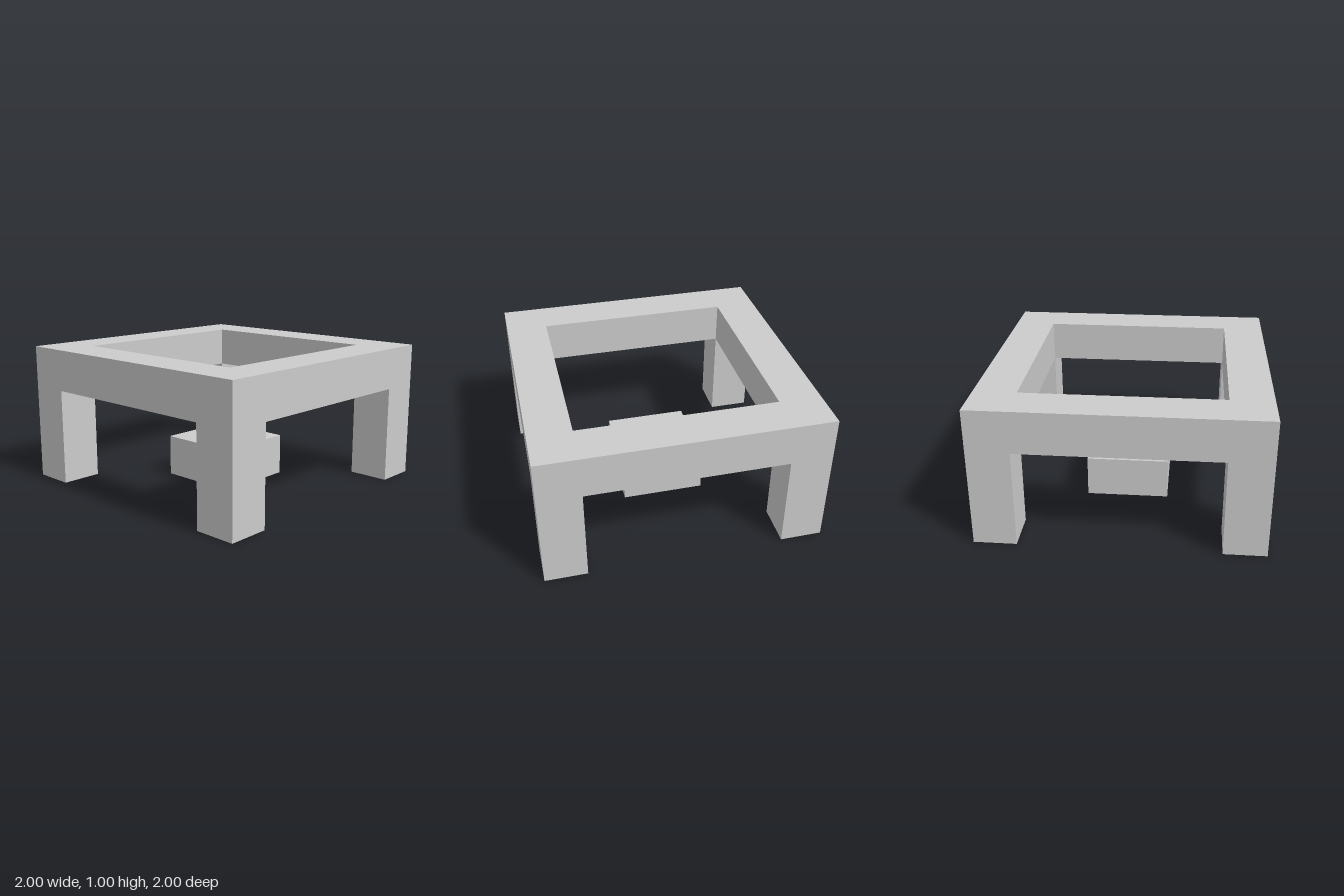
import * as THREE from 'three';

const HALF = 1, BAR = 0.3, HEIGHT = 1;

function square(path, h) {
  path.moveTo(-h, -h);
  path.lineTo(h, -h);
  path.lineTo(h, h);
  path.lineTo(-h, h);
  path.closePath();
  return path;
}

export function createModel() {
  const model = new THREE.Group();
  const material = new THREE.MeshStandardMaterial({ color: 0xcccccc });

  const add = (name, geometry, x = 0, y = 0, z = 0) => {
    const mesh = new THREE.Mesh(geometry, material);
    mesh.name = name;
    mesh.position.set(x, y, z);
    model.add(mesh);
  };

  // Square top frame with an open centre
  const outline = square(new THREE.Shape(), HALF);
  outline.holes.push(square(new THREE.Path(), HALF - BAR));
  const frame = new THREE.ExtrudeGeometry(outline, { depth: BAR, bevelEnabled: false });
  frame.rotateX(-Math.PI / 2);
  add('topFrame', frame, 0, HEIGHT - BAR, 0);

  // Four corner legs, flush with the frame
  const legHeight = HEIGHT - BAR;
  const leg = new THREE.BoxGeometry(BAR, legHeight, BAR);
  const offset = HALF - BAR / 2;
  for (const [zName, sz] of [['front', 1], ['back', -1]]) {
    for (const [xName, sx] of [['Left', 1], ['Right', -1]]) {
      add(`${zName}${xName}Leg`, leg, sx * offset, legHeight / 2, sz * offset);
    }
  }

  // Low block standing on the ground in the middle
  add('centreBlock', new THREE.BoxGeometry(0.6, 0.3, 0.6), 0, 0.15, 0);

  return model;
}
